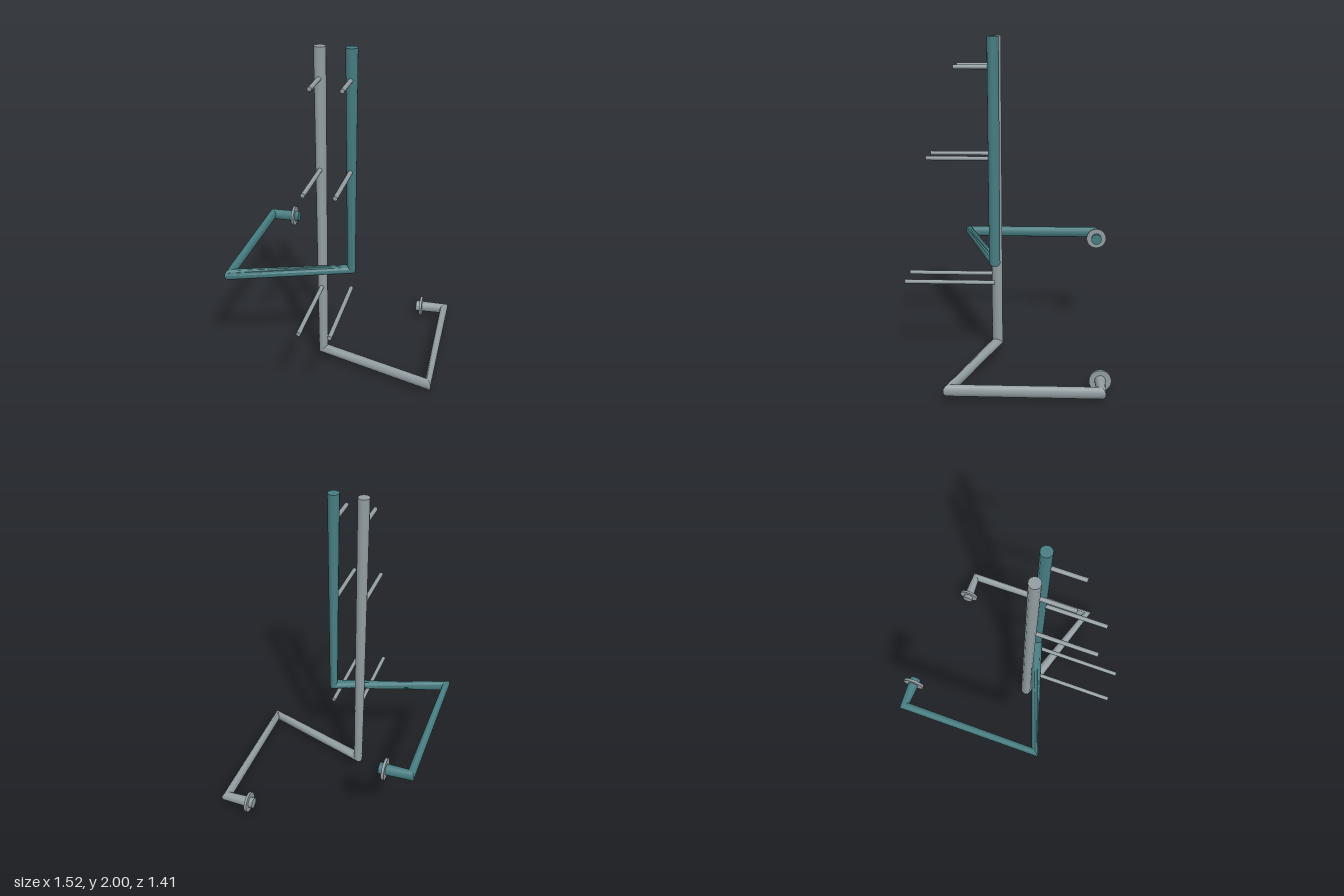
import * as THREE from 'three';
import { toCreasedNormals } from 'three/addons/utils/BufferGeometryUtils.js';

const SIDES = 12;
const PIPE_RADIUS = 0.035;
const V = (x, y, z) => new THREE.Vector3(x, y, z);

// Bent pipe: one round section per path point, set on the bisecting plane of each corner.
function pipeGeometry(path, radius) {
  const dirs = path.slice(1).map((p, i) => p.clone().sub(path[i]).normalize());
  const last = path.length - 1;
  const tangents = path.map((p, i) => {
    if (i === 0) return dirs[0];
    if (i === last) return dirs[last - 1];
    return dirs[i - 1].clone().add(dirs[i]).normalize();
  });
  const u = V(1, 0, 0);
  const turn = new THREE.Quaternion();
  const positions = [];
  const index = [];
  path.forEach((p, i) => {
    if (i > 0) u.applyQuaternion(turn.setFromUnitVectors(tangents[i - 1], tangents[i]));
    const w = tangents[i].clone().cross(u);
    for (let s = 0; s < SIDES; s++) {
      const a = (s / SIDES) * Math.PI * 2;
      const q = p.clone().addScaledVector(u, radius * Math.cos(a)).addScaledVector(w, radius * Math.sin(a));
      positions.push(q.x, q.y, q.z);
    }
  });
  for (let i = 0; i < last; i++) {
    for (let s = 0; s < SIDES; s++) {
      const a = i * SIDES + s;
      const b = i * SIDES + ((s + 1) % SIDES);
      index.push(a, b, a + SIDES, b, b + SIDES, a + SIDES);
    }
  }
  // End caps
  const end = last * SIDES;
  for (let s = 1; s < SIDES - 1; s++) {
    index.push(0, s + 1, s, end, end + s, end + s + 1);
  }
  const geometry = new THREE.BufferGeometry();
  geometry.setAttribute('position', new THREE.Float32BufferAttribute(positions, 3));
  geometry.setIndex(index);
  return toCreasedNormals(geometry, 0.7);
}

// Straight round bar from a start point along a direction
function bar(name, start, direction, length, radius, material, sides) {
  const mesh = new THREE.Mesh(new THREE.CylinderGeometry(radius, radius, length, sides), material);
  mesh.name = name;
  mesh.quaternion.setFromUnitVectors(V(0, 1, 0), direction);
  mesh.position.copy(start).addScaledVector(direction, length / 2);
  return mesh;
}

export function createModel() {
  const steel = new THREE.MeshStandardMaterial({ color: 0x929da1 });
  steel.name = 'grey steel';
  const teal = new THREE.MeshStandardMaterial({ color: 0x467c80 });
  teal.name = 'teal paint';

  const model = new THREE.Group();
  model.name = 'pipework';

  const runs = [
    {
      name: 'grey', material: steel,
      path: [V(-0.169, 2, 0.118), V(-0.169, 0.066, 0.118), V(0.362, 0.066, 0.615),
        V(0.724, 0.066, -0.164), V(0.552, 0.066, -0.244)],
    },
    {
      name: 'teal', material: teal,
      path: [V(-0.009, 2, 0.192), V(-0.009, 0.659, 0.192), V(-0.729, 0.659, 0.105),
        V(-0.364, 0.659, -0.677), V(-0.196, 0.659, -0.599)],
    },
  ];
  // Height and length of the support rods on each riser
  const rods = [[1.826, 0.23], [1.295, 0.4], [0.527, 0.552]];
  const rodDirection = V(-0.422, 0, 0.906).normalize();

  for (const { name, material, path } of runs) {
    const pipe = new THREE.Mesh(pipeGeometry(path, PIPE_RADIUS), material);
    pipe.name = name + 'Pipe';
    model.add(pipe);

    // Flange disc just behind the open end
    const tip = path[path.length - 1];
    const back = path[path.length - 2].clone().sub(tip).normalize();
    const flangeStart = tip.clone().addScaledVector(back, 0.026);
    model.add(bar(name + 'Flange', flangeStart, back, 0.016, 0.065, steel, 24));

    // Support rods
    rods.forEach(([y, length], i) => {
      const start = V(path[0].x, y, path[0].z);
      model.add(bar(name + 'SupportRod' + (i + 1), start, rodDirection, length, 0.013, steel, SIDES));
    });
  }
  return model;
}
